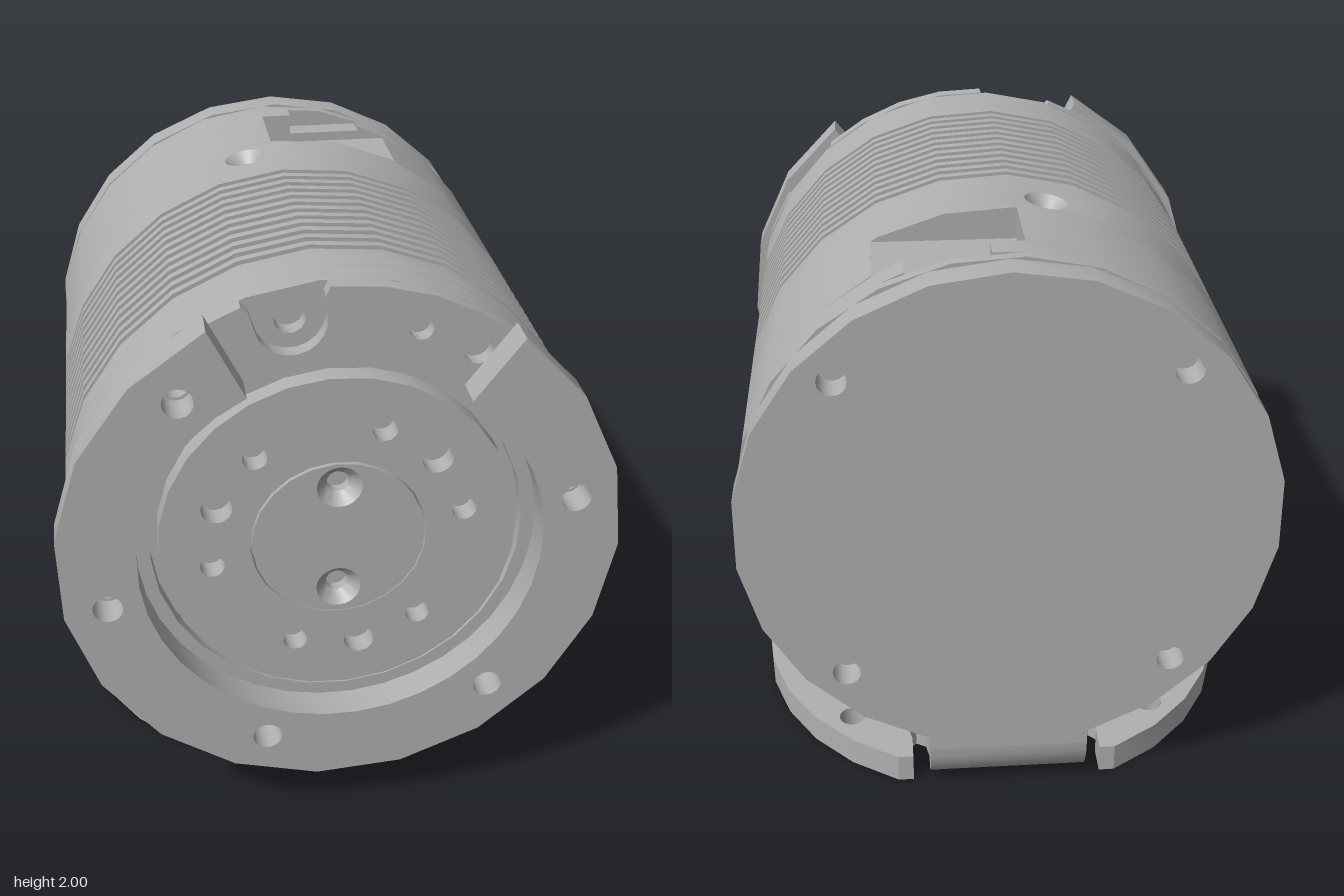
import * as THREE from 'three';
import { toCreasedNormals, mergeGeometries } from 'three/addons/utils/BufferGeometryUtils.js';

const R = 0.895, AXIS_Y = 1.105, SIDES = 24;
const rad = THREE.MathUtils.degToRad;
const V = (x, y) => new THREE.Vector2(x, y);
const polar = (r, deg, cx = 0, cy = 0) => V(cx + r * Math.cos(rad(deg)), cy + r * Math.sin(rad(deg)));

// Points along an arc, in degrees
function arc(r, from, to, n, cx = 0, cy = 0) {
  return Array.from({ length: n + 1 }, (_, i) => polar(r, from + (to - from) * i / n, cx, cy));
}
// Closed polygon approximating a circle
const circle = (r, n = SIDES, p = V(0, 0), start = 3.5) => arc(r, start, start + 360, n, p.x, p.y).slice(0, n);

// Flat shape with holes, extruded from z0 to z1
function slab(points, z0, z1, holes = []) {
  const shape = new THREE.Shape(points);
  shape.holes = holes.map(h => new THREE.Path(h));
  const g = new THREE.ExtrudeGeometry(shape, { depth: z1 - z0, bevelEnabled: false });
  return g.translate(0, 0, z0);
}

// Round body section with a flat-floored cut between x0 and x1
function cutSection(x0, x1, floor) {
  const a0 = THREE.MathUtils.radToDeg(Math.acos(x0 / R));
  const a1 = THREE.MathUtils.radToDeg(Math.acos(x1 / R)) + 360;
  const pts = [polar(R, a0)];
  for (let a = 3.5; a < a1; a += 360 / SIDES) if (a > a0 + 0.5 && a < a1 - 0.5) pts.push(polar(R, a));
  pts.push(polar(R, a1), V(x1, floor), V(x0, floor));
  return pts;
}

// Front plate outline with six U-shaped notches
function notchedOutline() {
  const pts = [], w = 0.115, flare = 0.14;
  const edge = THREE.MathUtils.radToDeg(Math.asin(flare / R));
  for (let k = 0; k < 6; k++) {
    const a = 41 + 60 * k, c = polar(0.80, a);
    pts.push(polar(R, a - edge), polar(0.865, a - 8));
    pts.push(...arc(w, a - 90, a - 270, 10, c.x, c.y));
    pts.push(polar(0.865, a + 8));
    pts.push(...arc(R, a + edge, a + 60 - edge, 4).slice(0, 4));
  }
  return pts;
}

// Countersunk screw seat opening toward +z
function screwSeat(r = 0.075) {
  const profile = [V(r, 0), V(0.037, -0.04), V(0.037, -0.075), V(0, -0.075)];
  return new THREE.LatheGeometry(profile, 20).rotateX(Math.PI / 2);
}

export function createModel() {
  const metal = new THREE.MeshStandardMaterial({ color: 0xb0b0b0 });
  metal.name = 'grey metal';
  const model = new THREE.Group();
  model.name = 'motorOnBracket';
  const motor = new THREE.Group();
  motor.name = 'motor';
  motor.position.y = AXIS_Y;
  model.add(motor);
  const add = (name, geometry, parent = motor) => {
    const mesh = new THREE.Mesh(toCreasedNormals(geometry, 0.5), metal);
    mesh.name = name;
    parent.add(mesh);
    return mesh;
  };
  const six = (r, radius, first) => Array.from({ length: 6 }, (_, k) => circle(radius, 16, polar(r, first + 60 * k)));

  // Finned barrel
  const profile = [V(R, -0.16)];
  const pitch = 0.76 / 12;
  for (let i = 0; i < 12; i++) {
    const z = -0.16 + pitch * i + 0.016;
    profile.push(V(R, z), V(0.877, z), V(0.877, z + 0.032), V(R, z + 0.032));
  }
  profile.push(V(R, 0.70));
  add('finnedBarrel', new THREE.LatheGeometry(profile, SIDES, rad(3.5)).rotateX(Math.PI / 2));
  add('barrelFront', slab(circle(R), 0.70, 0.77));
  add('notchFloor', slab(circle(R), 0.77, 0.83, six(0.785, 0.05, 41)));

  // Front plate with notches and screw holes
  add('frontPlate', slab(notchedOutline(), 0.83, 0.885,
    [circle(0.62, 28), ...six(0.78, 0.04, 11), circle(0.048, 16, polar(0.785, 56))]));

  // Output hub with nine holes
  const hubHoles = [11, 41, 70, 130, 160, 190, 250, 280, 310].map(a =>
    circle([41, 160, 280].includes(a) ? 0.052 : 0.041, 16, polar(0.425, a)));
  add('hub', slab(circle(0.595, 28), 0.83, 0.91, [circle(0.293, 24), ...hubHoles]));

  // Hub centre with two countersunk screw seats
  const seats = [V(0, 0.2), V(0, -0.19)];
  add('hubCentre', slab(circle(0.287, 24), 0.83, 0.915, seats.map(p => circle(0.075, 20, p, 0))));
  seats.forEach(p => add('hubScrewSeat', screwSeat().translate(p.x, p.y, 0.915)));

  // Open front ring
  const ringHoles = [11, 131, 191, 251, 311].map(a => circle(0.05, 16, polar(0.78, a)));
  add('frontRing', slab([...arc(0.925, 117, 413, 16), ...arc(0.665, 413, 117, 30)], 0.885, 1.0, ringHoles));

  // Smooth band of flat staves, four of them with screw seats
  const staves = [], seatParts = [];
  const half = R * Math.sin(Math.PI / SIDES), apothem = R * Math.cos(Math.PI / SIDES);
  for (let k = 0; k < SIDES; k++) {
    const a = rad(11 + 15 * k);
    const basis = new THREE.Matrix4().makeBasis(
      new THREE.Vector3(-Math.sin(a), Math.cos(a), 0),
      new THREE.Vector3(0, 0, 1),
      new THREE.Vector3(Math.cos(a), Math.sin(a), 0));
    const seat = V(0, -0.35), hasSeat = k % 6 === 0;
    const outline = [V(-half, -0.43), V(half, -0.43), V(half, -0.16), V(-half, -0.16)];
    staves.push(slab(outline, apothem - 0.09, apothem, hasSeat ? [circle(0.075, 20, seat, 0)] : []).applyMatrix4(basis));
    if (hasSeat) seatParts.push(screwSeat().translate(0, seat.y, apothem).applyMatrix4(basis));
  }
  add('screwBand', mergeGeometries(staves));
  add('sideScrewSeats', mergeGeometries(seatParts));

  // Rear housing with a stepped connector pocket on top
  add('rearHousing', mergeGeometries([
    slab(circle(R), -0.46, -0.43),
    slab(cutSection(-0.06, 0.42, 0.785), -0.75, -0.46),
    slab(cutSection(0.05, 0.32, 0.82), -0.84, -0.75),
    slab(circle(R), -0.878, -0.84),
    slab(circle(0.875), -0.895, -0.878),
  ]));

  // Upright bracket plate with a tab at the bottom
  const tab = 0.275, corner = THREE.MathUtils.radToDeg(Math.asin(tab / R));
  const diagonal = (d, cx, cy) => [45, 135, 225, 315].map(a => {
    const p = polar(d, a, cx, cy);
    return circle(0.048, 16, p);
  });
  add('backPlate', slab(
    [...arc(R, -90 + corner, 270 - corner, 20), V(-tab, 0.2 - AXIS_Y), V(tab, 0.2 - AXIS_Y)],
    -1.0, -0.895, diagonal(0.78, 0, 0)));

  // Bend joining the upright plate to the foot
  const bend = [...arc(0.2, -90, 0, 8, 0.8, 0.2), ...arc(0.095, 0, -90, 8, 0.8, 0.2)];
  add('bracketBend', slab(bend, -tab, tab).rotateY(Math.PI / 2), model);

  // Foot plate: disc cut flat front and back, with relief slots beside the bend
  const side = [...arc(0.88, -63.7, 63.7, 10, 0, 0.13),
    V(0.335, 0.92), V(0.335, 0.82), V(0.35, 0.76), V(0.32, 0.73), V(0.285, 0.75), V(tab, 0.80)];
  const mirrored = side.map(p => V(-p.x, p.y)).reverse();
  add('footPlate', slab([...side, ...mirrored], 0, 0.105, diagonal(0.78, 0, 0.13)).rotateX(-Math.PI / 2), model);

  return model;
}
